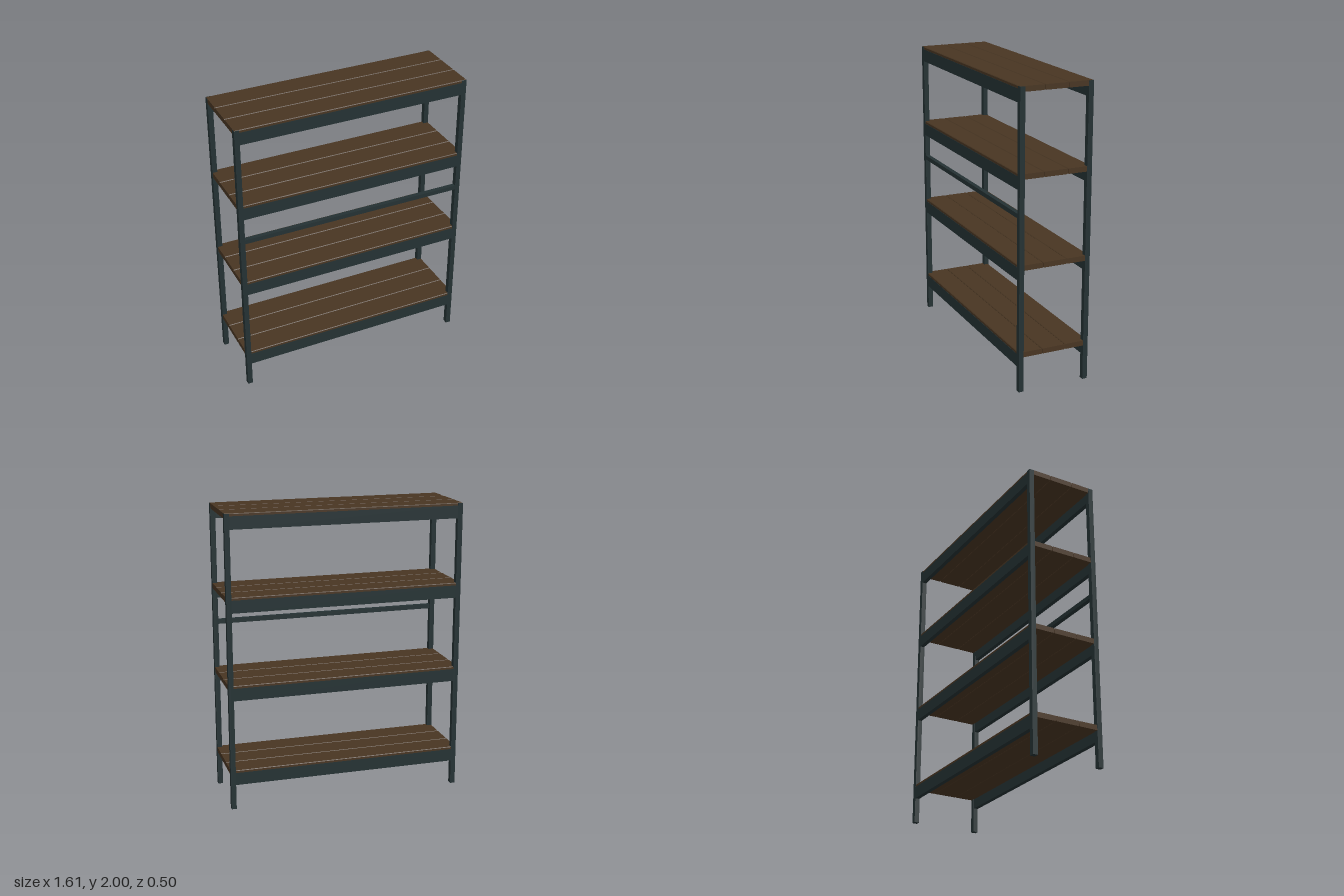
import * as THREE from 'three';

const W = 0.807, D = 0.25;      // half width and half depth of the frame
const POST = 0.034, BEAM_H = 0.085, PLANK_T = 0.035;
const SHELF_TOPS = [0.275, 0.865, 1.457, 2.0];

export function createModel() {
  const model = new THREE.Group();
  model.name = 'shelvingUnit';

  const steel = new THREE.MeshStandardMaterial({ color: 0x243133 });
  steel.name = 'dark steel';
  const wood = new THREE.MeshStandardMaterial({ color: 0x483522 });
  wood.name = 'brown wood';

  const add = (parent, name, geometry, material, x, y, z) => {
    const mesh = new THREE.Mesh(geometry, material);
    mesh.name = name;
    mesh.position.set(x, y, z);
    parent.add(mesh);
  };

  // Four square corner posts, ending just under the top planks' surface
  const postH = 1.998;
  const postGeo = new THREE.BoxGeometry(POST, postH, POST);
  for (const sx of [-1, 1]) for (const sz of [-1, 1]) {
    const name = (sz > 0 ? 'front' : 'back') + (sx > 0 ? 'Left' : 'Right') + 'Post';
    add(model, name, postGeo, steel, sx * (W - POST / 2), postH / 2, sz * (D - POST / 2));
  }

  // Plank: lightly chamfered section extruded along x
  const plankLen = 2 * (W - 0.002), plankW = 0.164, c = 0.004;
  const hw = plankW / 2, ht = PLANK_T / 2;
  const section = new THREE.Shape([
    [-hw + c, -ht], [hw - c, -ht], [hw, -ht + c], [hw, ht - c],
    [hw - c, ht], [-hw + c, ht], [-hw, ht - c], [-hw, -ht + c],
  ].map(([x, y]) => new THREE.Vector2(x, y)));
  const plankGeo = new THREE.ExtrudeGeometry(section, { depth: plankLen, bevelEnabled: false });
  plankGeo.translate(0, 0, -plankLen / 2);
  plankGeo.rotateY(Math.PI / 2);

  // Shelves: three planks resting between a front and a back beam
  const beamD = 0.03;
  const beamGeo = new THREE.BoxGeometry(2 * (W - POST), BEAM_H, beamD);
  SHELF_TOPS.forEach((top, i) => {
    const shelf = new THREE.Group();
    shelf.name = `shelf${i + 1}`;
    model.add(shelf);
    for (const k of [-1, 0, 1]) {
      add(shelf, `plank${k + 2}`, plankGeo, wood, 0, top - ht, k * 0.166);
    }
    for (const s of [-1, 1]) {
      add(shelf, s > 0 ? 'frontBeam' : 'backBeam', beamGeo, steel,
        0, top - 0.018 - BEAM_H / 2, s * (D - beamD / 2));
    }
  });

  // Slim rail across the front
  add(model, 'frontRail', new THREE.BoxGeometry(2 * (W - POST), 0.03, 0.03), steel,
    0, 1.185, D - 0.015);

  return model;
}
